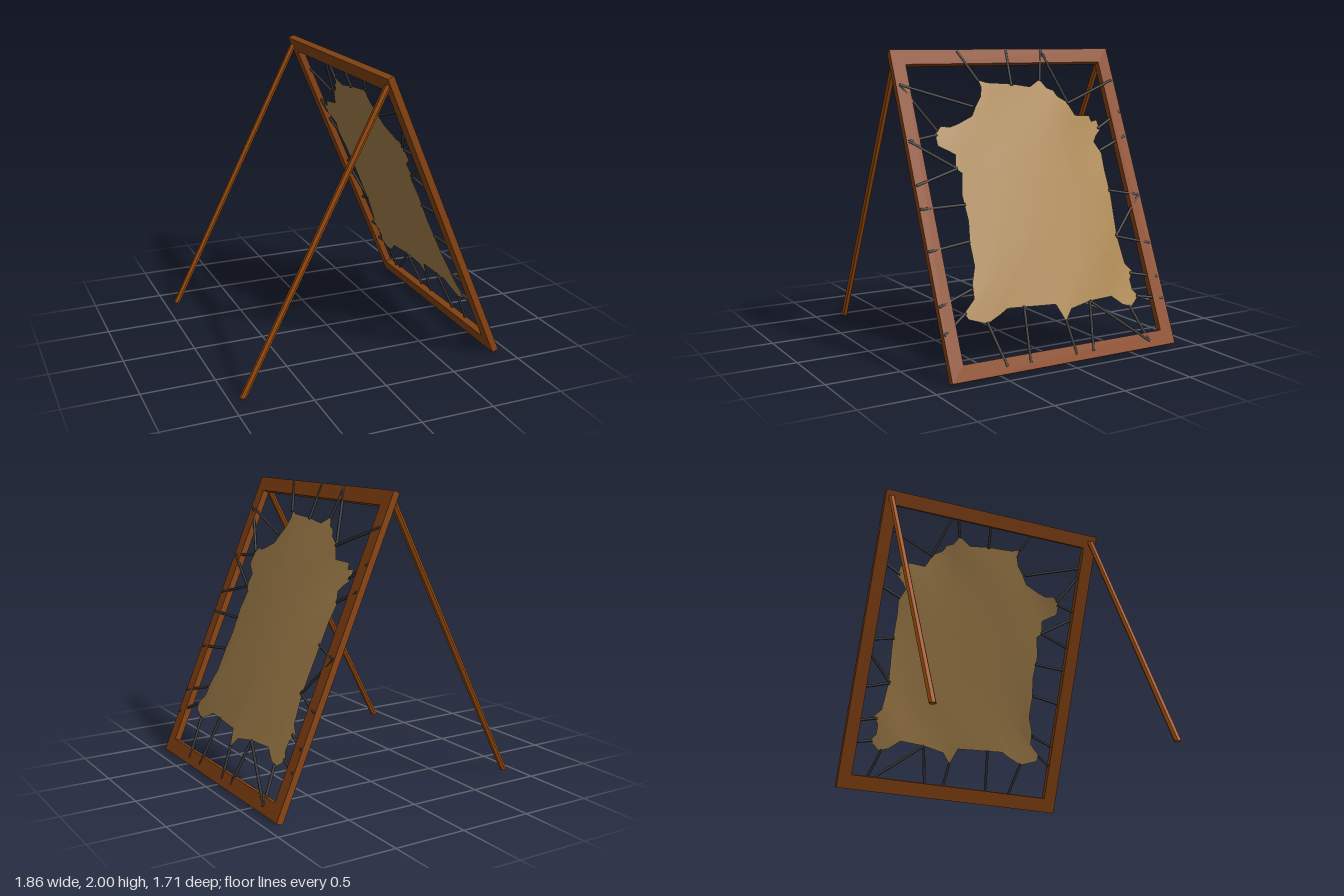
import * as THREE from 'three';

const TILT = 0.403;                 // lean of the frame
const COS = Math.cos(TILT);
const wood = new THREE.MeshStandardMaterial({ color: 0x8b4513, flatShading: true });
const legWood = new THREE.MeshStandardMaterial({ color: 0xa04f0c, flatShading: true });
const ropeMat = new THREE.MeshStandardMaterial({ color: 0x383838 });
const hideMat = new THREE.MeshStandardMaterial({ color: 0xab864f, side: THREE.DoubleSide });

// Hide outline as [z, height] pairs, clockwise seen from the outer side
const OUTLINE = [
  .25, 1.79, .19, 1.77, 0, 1.76, -.15, 1.74, -.24, 1.79, -.28, 1.73, -.33, 1.71, -.35, 1.67,
  -.42, 1.63, -.47, 1.54, -.60, 1.54, -.61, 1.50, -.66, 1.51, -.67, 1.44, -.62, 1.40, -.59, 1.36,
  -.63, 1.28, -.62, 1.18, -.62, 1.00, -.60, .73, -.62, .55, -.67, .50, -.63, .45, -.63, .36,
  -.67, .34, -.59, .28, -.52, .30, -.44, .36, -.25, .35, -.09, .32, -.03, .25, .02, .36,
  .37, .38, .43, .35, .53, .31, .65, .35, .67, .39, .59, .44, .58, .55, .54, .65,
  .54, .79, .52, .92, .53, 1.08, .50, 1.21, .54, 1.24, .52, 1.33, .63, 1.39, .63, 1.47,
  .58, 1.51, .52, 1.50, .45, 1.52, .35, 1.56, .31, 1.62, .26, 1.68, .24, 1.74,
];

// Ropes: frame z, height, then hide z, height
const ROPES = [
  .37, 1.98, .25, 1.78, -.01, 1.98, 0, 1.75, -.29, 1.98, -.24, 1.78, -.29, 1.98, -.43, 1.62,
  -.84, 1.77, -.42, 1.62, -.85, 1.55, -.65, 1.45, -.84, 1.38, -.62, 1.30, -.84, .98, -.61, 1.03,
  -.84, .98, -.59, .73, -.84, .66, -.59, .73, -.84, .44, -.64, .49, -.84, .30, -.65, .34,
  -.65, .05, -.57, .29, -.65, .05, -.25, .35, -.19, .05, -.25, .35, -.06, .05, -.03, .26,
  .29, .05, .25, .38, .46, .05, .53, .32, .85, .28, .66, .39, .85, .44, .59, .52,
  .85, .76, .54, .80, .85, 1.01, .52, 1.02, .85, 1.15, .53, 1.24, .84, 1.42, .62, 1.46,
  .84, 1.42, .53, 1.24, .83, 1.77, .61, 1.48, .83, 1.77, .33, 1.62,
];

// Height above the floor to distance along the sloping frame
const along = (y) => (y - 1) / COS;

// Gentle dome of the stretched hide, with a few soft folds
function hideDepth(y, z) {
  const edge = Math.min(1, Math.hypot(z / 0.65, (y - 1) / 0.8));
  return 0.026 - 0.034 * (z / 0.65) ** 2 - 0.008 * ((y - 1) / 0.8) ** 2
    + 0.007 * edge ** 3 * Math.sin(z * 9 + y * 7);
}

function makeFrame() {
  const rect = (path, a, b) =>
    path.moveTo(-a, -b).lineTo(a, -b).lineTo(a, b).lineTo(-a, b).closePath();
  const shape = new THREE.Shape();
  rect(shape, 0.855, 1.077);
  const hole = new THREE.Path();
  rect(hole, 0.76, 0.975);
  shape.holes.push(hole);
  const geo = new THREE.ExtrudeGeometry(shape, { depth: 0.046, bevelEnabled: false });
  geo.translate(0, 0, -0.023).rotateY(Math.PI / 2);
  return new THREE.Mesh(geo, wood);
}

// Rings of the outline scaled towards the middle
function makeHide() {
  const n = OUTLINE.length / 2, rings = 14, cz = -0.03, cy = 1;
  const pos = [], index = [];
  for (let j = 0; j <= rings; j++) {
    for (let i = 0; i < n; i++) {
      const t = j / rings;
      const z = cz + (OUTLINE[2 * i] - cz) * t;
      const y = cy + (OUTLINE[2 * i + 1] - cy) * t;
      pos.push(hideDepth(y, z), along(y), z);
      if (j === rings) continue;
      const k = (i + 1) % n;
      const a = j * n + i, b = a + n, c = (j + 1) * n + k, d = j * n + k;
      index.push(a, c, b);
      if (j > 0) index.push(a, d, c);
    }
  }
  const geo = new THREE.BufferGeometry();
  geo.setAttribute('position', new THREE.Float32BufferAttribute(pos, 3));
  geo.setIndex(index);
  geo.computeVertexNormals();
  return new THREE.Mesh(geo, hideMat);
}

function makeRope(z0, y0, z1, y1) {
  const a = new THREE.Vector3(0.019, along(y0), z0);
  const b = new THREE.Vector3(hideDepth(y1, z1), along(y1), z1);
  const dir = b.clone().sub(a);
  const mesh = new THREE.Mesh(new THREE.CylinderGeometry(0.01, 0.01, dir.length(), 8), ropeMat);
  mesh.position.copy(a).add(b).multiplyScalar(0.5);
  mesh.quaternion.setFromUnitVectors(new THREE.Vector3(0, 1, 0), dir.normalize());
  return mesh;
}

// Six-sided pole sheared so that its foot sits flat on the floor
function makeLeg(z) {
  const h = 1.93, geo = new THREE.CylinderGeometry(0.024, 0.024, h, 6);
  const p = geo.attributes.position;
  for (let i = 0; i < p.count; i++) {
    const t = p.getY(i) / h + 0.5;
    p.setX(i, p.getX(i) - 0.912 + t * 0.98);
  }
  geo.computeVertexNormals();
  const leg = new THREE.Mesh(geo, legWood);
  leg.position.set(0, h / 2 + 0.01, z);
  return leg;
}

export function createModel() {
  const model = new THREE.Group();
  model.name = 'hideStretchingRack';

  // Leaning panel: frame, hide and lacing
  const panel = new THREE.Group();
  panel.name = 'panel';
  panel.position.set(0.487, 1, 0);
  panel.rotation.z = TILT;
  const frame = makeFrame();
  frame.name = 'frame';
  const hide = makeHide();
  hide.name = 'hide';
  const ropes = new THREE.Group();
  ropes.name = 'ropes';
  for (let i = 0; i < ROPES.length; i += 4) {
    const rope = makeRope(...ROPES.slice(i, i + 4));
    rope.name = 'rope';
    ropes.add(rope);
  }
  panel.add(frame, hide, ropes);
  model.add(panel);

  // Pair of rear support legs
  for (const side of [-1, 1]) {
    const leg = makeLeg(side * 0.81);
    leg.name = side > 0 ? 'frontLeg' : 'backLeg';
    model.add(leg);
  }
  return model;
}
